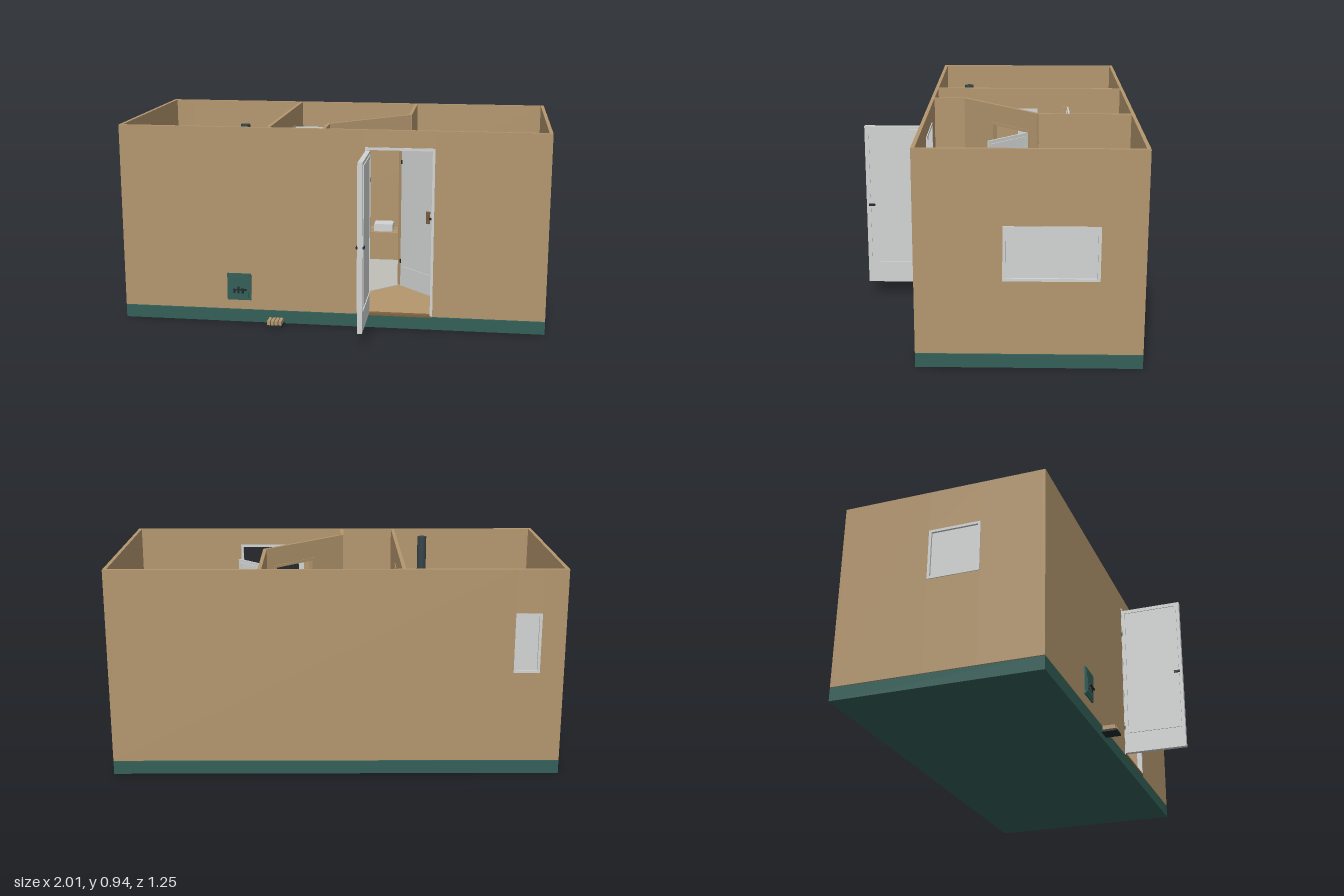
import * as THREE from 'three';
import { RoundedBoxGeometry } from 'three/addons/geometries/RoundedBoxGeometry.js';

const paint = (name, color) => {
  const m = new THREE.MeshStandardMaterial({ color });
  m.name = name;
  return m;
};

export function createModel() {
  const wood = paint('wood', 0xb3966e);
  const darkWood = paint('dark wood', 0x80623f);
  const green = paint('dark green', 0x335f58);
  const white = paint('white', 0xd2d4d4);
  const tile = paint('floor tile', 0xc0beb8);
  const metal = paint('black metal', 0x22282b);
  const pipe = paint('chimney steel', 0x374448);
  const stone = paint('stone', 0x4a4f50);

  const root = new THREE.Group();
  root.name = 'cabin';
  const group = (name, parent = root) => {
    const g = new THREE.Group();
    g.name = name;
    parent.add(g);
    return g;
  };
  const add = (parent, name, geo, mat, x = 0, y = 0, z = 0) => {
    const m = new THREE.Mesh(geo, mat);
    m.name = name;
    m.position.set(x, y, z);
    parent.add(m);
    return m;
  };
  const box = (parent, name, mat, x0, x1, y0, y1, z0, z1) =>
    add(parent, name, new THREE.BoxGeometry(x1 - x0, y1 - y0, z1 - z0), mat,
      (x0 + x1) / 2, (y0 + y1) / 2, (z0 + z1) / 2);
  const cyl = (parent, name, mat, rt, rb, h, x, y, z, n = 20) =>
    add(parent, name, new THREE.CylinderGeometry(rt, rb, h, n), mat, x, y, z);

  // Parallel boards with gaps, running along x or z
  const slats = (parent, x0, x1, z0, z1, top, n, along, th = 0.015, gap = 0.009) => {
    const [a, b] = along === 'x' ? [z0, z1] : [x0, x1];
    const w = (b - a - gap * (n - 1)) / n;
    for (let i = 0; i < n; i++) {
      const s = a + i * (w + gap);
      if (along === 'x') box(parent, 'board', wood, x0, x1, top - th, top, s, s + w);
      else box(parent, 'board', wood, s, s + w, top - th, top, z0, z1);
    }
  };
  // Slatted bench or table on a bearer frame and legs
  const bench = (name, x0, x1, z0, z1, top, n, along) => {
    const g = group(name);
    slats(g, x0, x1, z0, z1, top, n, along);
    const t = 0.02, y = top - 0.015;
    for (const e of [0.02, 0.98]) {
      const x = x0 + (x1 - x0 - t) * e, z = z0 + (z1 - z0 - t) * e;
      if (along === 'x') box(g, 'bearer', wood, x, x + t, y - 0.025, y, z0, z1);
      else box(g, 'bearer', wood, x0, x1, y - 0.025, y, z, z + t);
      for (const f of [0.02, 0.98]) {
        const lz = z0 + (z1 - z0 - t) * f;
        box(g, 'leg', wood, x, x + t, 0.07, y, lz, lz + t);
      }
    }
    return g;
  };

  // Base and floors
  box(root, 'base', green, -1, 1, 0, 0.06, -0.62, 0.33);
  box(root, 'floor', wood, -0.99, 0.99, 0.06, 0.068, -0.61, 0.32);
  const wet = new THREE.Shape([[-0.29, 0.61], [0.33, 0.61], [0.33, 0.185], [-0.033, -0.165], [-0.033, -0.32], [-0.29, -0.32]]
    .map(([x, y]) => new THREE.Vector2(x, y)));
  const wetFloor = add(root, 'wetRoomFloor', new THREE.ExtrudeGeometry(wet, { depth: 0.004, bevelEnabled: false }), tile, 0, 0.067, 0);
  wetFloor.rotation.x = -Math.PI / 2;

  // Wall from a to b; an opening [s0, s1, y0, y1] gets a frame, and a pane if it is a window
  const T = 0.008, Y0 = 0.063, Y1 = 0.94;
  const wall = (name, ax, az, bx, bz, o, kind, trim = white) => {
    const g = group(name);
    g.position.set(ax, 0, az);
    g.rotation.y = -Math.atan2(bz - az, bx - ax);
    const L = Math.hypot(bx - ax, bz - az);
    if (!o) return box(g, 'wallPanel', wood, 0, L, Y0, Y1, -T, T);
    const [s0, s1, y0, y1] = o;
    box(g, 'wallPanel', wood, 0, s0, Y0, Y1, -T, T);
    box(g, 'wallPanel', wood, s1, L, Y0, Y1, -T, T);
    box(g, 'wallAbove', wood, s0, s1, y1, Y1, -T, T);
    if (y0 > Y0) box(g, 'wallBelow', wood, s0, s1, Y0, y0, -T, T);
    const f = 0.012, d = T + 0.004;
    box(g, 'frameSide', trim, s0, s0 + f, y0, y1, -d, d);
    box(g, 'frameSide', trim, s1 - f, s1, y0, y1, -d, d);
    box(g, 'frameTop', trim, s0 + f, s1 - f, y1 - f, y1, -d, d);
    if (kind === 'window') {
      box(g, 'frameBottom', trim, s0 + f, s1 - f, y0, y0 + f, -d, d);
      box(g, 'pane', white, s0 + f, s1 - f, y0 + f, y1 - f, -0.002, 0.002);
    }
  };
  wall('frontWall', -1, 0.322, 1, 0.322, [1.16, 1.48, Y0, 0.86], 'door');
  wall('backWall', -1, -0.612, 1, -0.612, [0.107, 0.222, 0.475, 0.745], 'window');
  wall('rightWall', 0.992, -0.604, 0.992, 0.314, [0.17, 0.57, 0.385, 0.62], 'window');
  wall('leftWall', -0.992, -0.604, -0.992, 0.314, [0.404, 0.644, 0.5, 0.74], 'window');
  wall('hotRoomPartition', -0.292, -0.604, -0.292, 0.314, [0.255, 0.525, Y0, 0.85], 'door', wood);
  wall('straightPartition', 0.329, -0.604, 0.329, -0.185);
  wall('diagonalPartition', -0.033, 0.165, 0.329, -0.185, [0.2, 0.455, Y0, 0.855], 'door', wood);
  wall('shortPartition', -0.033, 0.165, -0.033, 0.314);
  box(root, 'threshold', darkWood, 0.16, 0.48, 0.06, 0.071, 0.31, 0.334);

  // Door leaf, hinged at the origin and reaching along local x
  const door = (name, x, z, turn, len, t, handleMat) => {
    const g = group(name);
    g.position.set(x, 0, z);
    g.rotation.y = turn;
    box(g, 'leaf', white, 0, len, 0.07, 0.845, -t, t);
    for (const s of [-1, 1]) {
      const zf = s * (t + 0.002);
      for (const [a, b, c, d] of [[0.015, 0.02, 0.17, 0.83], [len - 0.02, len - 0.015, 0.17, 0.83],
        [0.02, len - 0.02, 0.17, 0.175], [0.02, len - 0.02, 0.825, 0.83]])
        box(g, 'panelMoulding', white, a, b, c, d, zf - 0.002, zf + 0.002);
      box(g, 'handle', handleMat, len - 0.04, len - 0.01, 0.457, 0.467, s * t - 0.008, s * t + 0.008);
    }
    for (const y of [0.2, 0.71]) box(g, 'hinge', metal, -0.003, 0.005, y - 0.01, y + 0.01, -t - 0.003, t + 0.003);
    return g;
  };
  door('frontDoor', 0.173, 0.33, -Math.PI / 2, 0.3, 0.011, metal);
  const inner = door('innerDoor', 0.295, -0.135, -Math.PI / 4, 0.245, 0.004, metal);
  for (const s of [-1, 1]) box(inner, 'pullGrip', darkWood, 0.2, 0.218, 0.435, 0.495, s * 0.01 - 0.006, s * 0.01 + 0.006);
  door('hotRoomDoor', -0.283, -0.342, 0, 0.26, 0.004, darkWood);

  // Hot room benches and duckboard
  bench('upperBench', -0.98, -0.705, -0.6, 0.31, 0.43, 4, 'z');
  bench('upperBackBench', -0.7, -0.305, -0.6, -0.465, 0.43, 4, 'x');
  bench('lowerBench', -0.7, -0.555, -0.45, 0.31, 0.26, 4, 'z');
  const duck = group('duckboard');
  slats(duck, -0.54, -0.31, -0.45, 0.06, 0.09, 6, 'z', 0.01);
  for (const z of [-0.32, -0.115]) box(duck, 'batten', darkWood, -0.545, -0.305, 0.068, 0.081, z - 0.01, z + 0.01);

  // Stove with stones, chimney and outside fire door
  const stove = group('stove');
  for (const [x, z] of [[-0.51, 0.095], [-0.35, 0.095], [-0.51, 0.24], [-0.35, 0.24]])
    box(stove, 'foot', metal, x - 0.01, x + 0.01, 0.068, 0.1, z - 0.01, z + 0.01);
  box(stove, 'body', green, -0.525, -0.335, 0.1, 0.33, 0.08, 0.255);
  box(stove, 'stoneTray', metal, -0.505, -0.355, 0.33, 0.334, 0.1, 0.235);
  for (const [a, b, c, d] of [[-0.525, -0.335, 0.08, 0.092], [-0.525, -0.335, 0.243, 0.255],
    [-0.525, -0.513, 0.092, 0.243], [-0.347, -0.335, 0.092, 0.243]])
    box(stove, 'trayRim', green, a, b, 0.33, 0.36, c, d);
  for (let i = 0; i < 16; i++) {
    const u = i % 4, v = Math.floor(i / 4);
    const s = add(stove, 'stone', new THREE.DodecahedronGeometry(0.019), stone,
      -0.486 + u * 0.037, 0.348 + ((i * 7) % 3) * 0.005, 0.114 + v * 0.035);
    s.rotation.set(i, i * 2, i * 3);
  }
  cyl(stove, 'chimney', pipe, 0.022, 0.022, 0.6, -0.43, 0.63, 0.165);
  box(stove, 'fireTunnel', metal, -0.485, -0.38, 0.12, 0.23, 0.255, 0.331);
  box(stove, 'fireDoor', green, -0.495, -0.38, 0.11, 0.24, 0.33, 0.338);
  box(stove, 'fireDoorPanel', green, -0.483, -0.392, 0.122, 0.228, 0.338, 0.342);
  for (const [x, h] of [[-0.46, 0.03], [-0.44, 0.045], [-0.42, 0.035]])
    box(stove, 'vent', metal, x - 0.005, x + 0.005, 0.145, 0.145 + h * 0.7, 0.342, 0.346);
  box(stove, 'fireDoorHandle', metal, -0.465, -0.4, 0.16, 0.166, 0.344, 0.352);

  // Firewood tray outside
  const tray = group('firewoodTray');
  box(tray, 'tray', metal, -0.295, -0.22, 0.004, 0.014, 0.345, 0.415);
  for (let i = 0; i < 4; i++) box(tray, 'log', wood, -0.291 + i * 0.018, -0.277 + i * 0.018, 0.014, 0.034, 0.351, 0.409);

  // Wooden pail
  const pail = (name, x, y, z) => {
    const g = group(name);
    g.position.set(x, y, z);
    const side = add(g, 'staves', new THREE.LatheGeometry([[0, 0], [0.04, 0], [0.05, 0.075], [0.044, 0.075], [0.036, 0.01], [0, 0.01]]
      .map(([a, b]) => new THREE.Vector2(a, b)), 18), wood);
    side.geometry = side.geometry.toNonIndexed();
    side.geometry.computeVertexNormals();
    for (const [r, h] of [[0.0435, 0.02], [0.048, 0.055]]) {
      const hoop = add(g, 'hoop', new THREE.TorusGeometry(r, 0.003, 6, 24), metal, 0, h, 0);
      hoop.rotation.x = Math.PI / 2;
    }
    add(g, 'bail', new THREE.TorusGeometry(0.048, 0.003, 6, 18, Math.PI), metal, 0, 0.072, 0);
    const ladle = cyl(g, 'ladleHandle', darkWood, 0.004, 0.004, 0.12, 0.02, 0.065, 0, 8);
    ladle.rotation.z = -0.5;
  };
  pail('benchPail', -0.84, 0.43, -0.355);
  pail('washPail', -0.21, 0.285, 0.24);
  box(root, 'ladle', darkWood, -0.69, -0.575, 0.26, 0.268, -0.075, -0.067);

  // Wash room fittings
  const heater = group('showerUnit');
  box(heater, 'cabinet', wood, -0.284, -0.225, 0.07, 0.36, -0.6, -0.47);
  for (const z of [-0.565, -0.535, -0.505]) cyl(heater, 'knob', metal, 0.008, 0.008, 0.012, -0.253, 0.366, z, 10);
  add(heater, 'basin', new THREE.CylinderGeometry(0.07, 0.05, 0.06, 24, 1, false, 0, Math.PI), white, -0.215, 0.3, -0.535);
  box(heater, 'spout', metal, -0.225, -0.13, 0.35, 0.356, -0.538, -0.532);
  bench('washRoomBench', -0.085, 0.315, -0.6, -0.465, 0.26, 4, 'x');
  box(root, 'towel', white, 0.12, 0.22, 0.26, 0.3, -0.575, -0.49);
  bench('washStand', -0.275, -0.055, 0.17, 0.3, 0.285, 3, 'x');
  box(root, 'washBasin', white, -0.185, -0.08, 0.285, 0.32, 0.2, 0.285);

  // Lounge furniture
  bench('loungeBackBench', 0.34, 0.98, -0.6, -0.47, 0.25, 4, 'x');
  bench('loungeTable', 0.58, 0.98, -0.45, -0.23, 0.36, 3, 'x');
  bench('loungeBench', 0.58, 0.98, -0.21, -0.075, 0.25, 4, 'x');
  for (const [x, z, w] of [[0.465, -0.54, 0.15], [0.85, -0.54, 0.15], [0.655, -0.14, 0.11]])
    add(root, 'cushion', new RoundedBoxGeometry(w, 0.05, 0.095, 4, 0.024), white, x, 0.275, z);
  const lamp = group('tableLamp');
  cyl(lamp, 'lampBase', metal, 0.028, 0.03, 0.015, 0.78, 0.367, -0.34);
  cyl(lamp, 'lampGlass', white, 0.016, 0.022, 0.06, 0.78, 0.404, -0.34);
  cyl(lamp, 'lampCap', metal, 0.008, 0.018, 0.015, 0.78, 0.44, -0.34);
  for (const [x, z] of [[0.735, -0.31], [0.815, -0.3]]) cyl(root, 'cup', white, 0.013, 0.01, 0.025, x, 0.372, z, 14);
  box(root, 'sideCabinet', wood, 0.625, 0.98, 0.07, 0.32, 0.21, 0.313);
  box(root, 'cabinetTray', white, 0.745, 0.85, 0.32, 0.335, 0.23, 0.29);
  box(root, 'shoeBox', wood, -0.02, 0.1, 0.068, 0.16, 0.195, 0.313);
  const rack = group('coatRack');
  box(rack, 'rail', darkWood, 0.974, 0.984, 0.6, 0.63, -0.05, 0.2);
  for (let i = 0; i < 5; i++) box(rack, 'hook', metal, 0.95, 0.974, 0.605, 0.615, -0.03 + i * 0.05, -0.022 + i * 0.05);

  return root;
}
